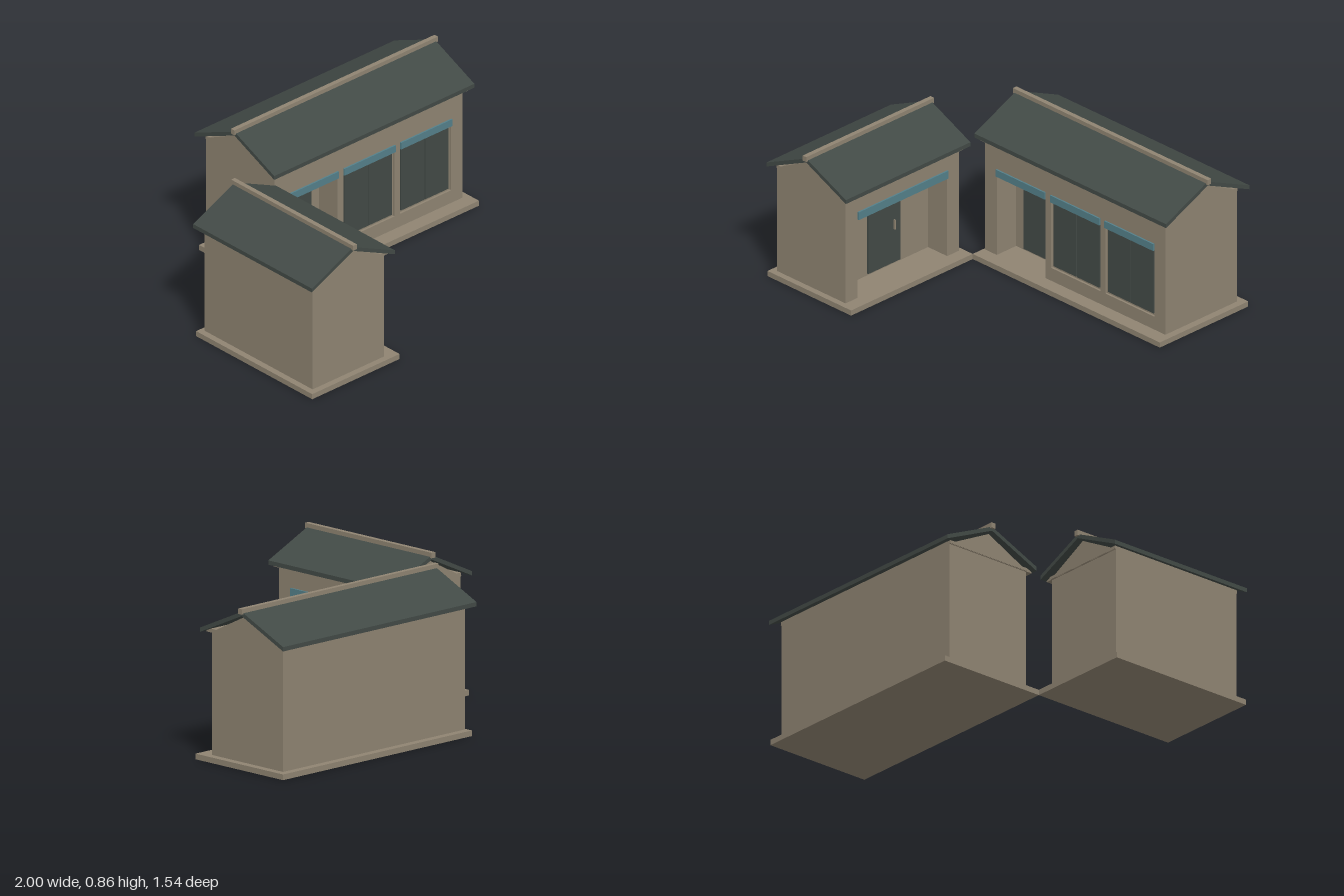
import * as THREE from 'three';

const mat = (name, color) => {
  const m = new THREE.MeshStandardMaterial({ color });
  m.name = name;
  return m;
};

export function createModel() {
  const plaster = mat('plaster', 0x8f8472);
  const slate = mat('slate', 0x424a46);
  const teal = mat('teal', 0x54808a);

  const add = (parent, name, geometry, material) => {
    const mesh = new THREE.Mesh(geometry, material);
    mesh.name = name;
    parent.add(mesh);
    return mesh;
  };

  // box given by its limits on each axis
  const block = (parent, name, material, [x0, x1], [y0, y1], [z0, z1]) => {
    const g = new THREE.BoxGeometry(x1 - x0, y1 - y0, z1 - z0);
    g.translate((x0 + x1) / 2, (y0 + y1) / 2, (z0 + z1) / 2);
    return add(parent, name, g, material);
  };

  const outline = (points) => points.map(([a, b]) => new THREE.Vector2(a, b));

  // (z, y) section swept along x
  const sweepX = (parent, name, material, points, x0, x1) => {
    const g = new THREE.ExtrudeGeometry(new THREE.Shape(outline(points)),
      { depth: x1 - x0, bevelEnabled: false });
    g.rotateY(-Math.PI / 2).translate(x1, 0, 0);
    return add(parent, name, g, material);
  };

  const RECESS = 0.14, FLOOR = 0.03;

  // A house with its length along x and its entrance facing +z
  function house(name, o) {
    const h = new THREE.Group();
    h.name = name;
    const [x0, x1] = o.walls;
    const [back, front] = o.depth;
    const inner = front - RECESS;
    const mid = (back + front) / 2;
    const [p0, p1] = o.porch;

    block(h, 'base', plaster, o.base[0], [0, FLOOR], o.base[1]);
    block(h, 'walls', plaster, o.walls, [FLOOR, o.top], [back, inner]);

    // front wall with an open porch and window openings
    const shape = new THREE.Shape(outline([
      [x0, FLOOR], [p0, FLOOR], [p0, o.lintel], [p1, o.lintel], [p1, FLOOR],
      [x1, FLOOR], [x1, o.top], [x0, o.top]]));
    for (const [a, b] of o.windows) {
      shape.holes.push(new THREE.Path(outline([
        [a, 0.105], [a, o.lintel], [b, o.lintel], [b, 0.105]])));
    }
    const wall = new THREE.ExtrudeGeometry(shape, { depth: RECESS, bevelEnabled: false });
    add(h, 'frontWall', wall.translate(0, 0, inner), plaster);

    // door with handle at the back of the porch
    block(h, 'door', slate, o.door, [0.04, o.lintel], [inner, inner + 0.008]);
    block(h, 'doorHandle', plaster, [o.handle - 0.003, o.handle + 0.003], [0.235, 0.29],
      [inner + 0.008, inner + 0.02]);

    // double windows: frame backing, two panes
    for (const [a, b] of o.windows) {
      const c = (a + b) / 2;
      block(h, 'windowFrame', plaster, [a, b], [0.105, o.lintel], [front - 0.03, front - 0.012]);
      for (const pane of [[a + 0.012, c - 0.003], [c + 0.003, b - 0.012]]) {
        block(h, 'windowPane', slate, pane, [0.117, o.lintel], [front - 0.012, front - 0.006]);
      }
    }

    // coloured headers over the openings
    for (const span of [o.porch, ...o.windows]) {
      block(h, 'header', teal, span, [o.lintel, 0.53], [front - 0.003, front + 0.009]);
    }

    // gable prism and eave board
    sweepX(h, 'gable', plaster,
      [[back, o.top], [front, o.top], [mid, o.top + 0.13]], x0 - 0.008, x1 + 0.008);
    block(h, 'eaveBoard', plaster, [x0 - 0.005, x1 + 0.005], [o.top - 0.002, o.top + 0.018],
      [back + 0.002, front + 0.036]);

    // pitched roof and ridge cap
    const [e0, e1] = o.eaves;
    const r = (e0 + e1) / 2, t = 0.023;
    sweepX(h, 'roof', slate, [[e0, o.eaveTop], [e0, o.eaveTop - t], [r, o.ridge - t],
      [e1, o.eaveTop - t], [e1, o.eaveTop], [r, o.ridge]], ...o.roof);
    block(h, 'ridgeCap', plaster, [o.roof[0] - 0.012, o.roof[1] + 0.012],
      [o.ridge - 0.012, o.ridge + 0.017], [r - 0.013, r + 0.013]);
    return h;
  }

  const model = new THREE.Group();
  model.name = 'courtyardHouses';

  model.add(house('mainHouse', {
    walls: [-0.375, 0.94], depth: [-0.725, -0.205], top: 0.68,
    base: [[-0.385, 0.98], [-0.765, -0.125]],
    porch: [-0.29, 0.067], lintel: 0.49, door: [-0.23, 0.005], handle: -0.04,
    windows: [[0.107, 0.465], [0.503, 0.86]],
    roof: [-0.413, 0.985], eaves: [-0.77, -0.165], eaveTop: 0.705, ridge: 0.84,
  }));

  // side house is turned to face +x, so its local x is -z
  const side = house('sideHouse', {
    walls: [-0.72, 0.10], depth: [-0.96, -0.46], top: 0.635,
    base: [[-0.755, 0.125], [-0.995, -0.385]],
    porch: [-0.633, 0.015], lintel: 0.485, door: [-0.425, -0.192], handle: -0.24,
    windows: [],
    roof: [-0.758, 0.143], eaves: [-1, -0.42], eaveTop: 0.66, ridge: 0.793,
  });
  side.rotation.y = Math.PI / 2;
  model.add(side);

  return model;
}
